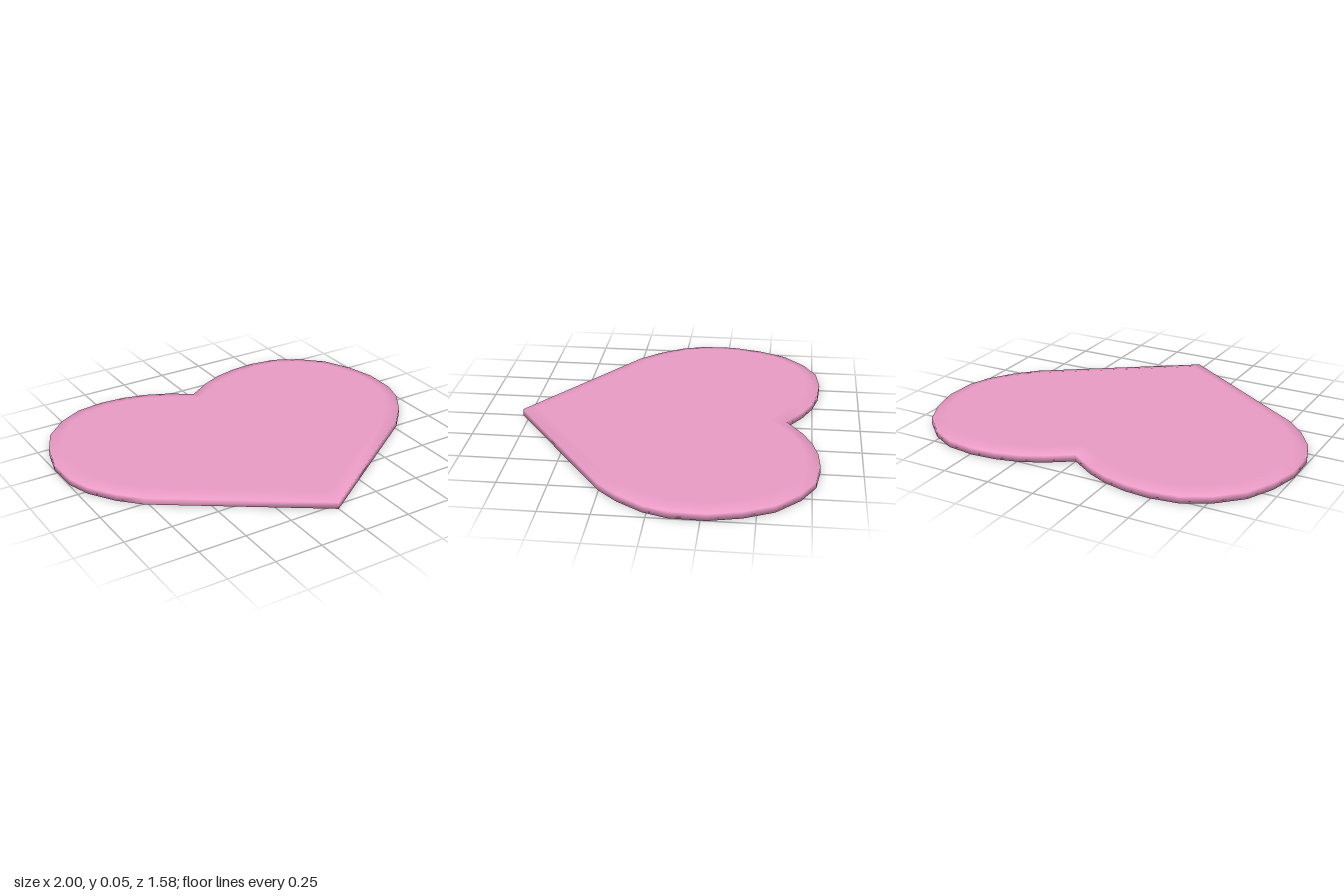
import * as THREE from 'three';

// Right half of the heart outline in (x, z), from the back notch to the front tip
const half = [
  [0, -0.615], [0.13, -0.7], [0.24, -0.75], [0.36, -0.78], [0.49, -0.79],
  [0.64, -0.77], [0.77, -0.7], [0.89, -0.585], [0.96, -0.44], [1, -0.28],
  [0.995, -0.1], [0.955, 0.02], [0.87, 0.15], [0.77, 0.255], [0, 0.785],
];

// Move every outline point inwards by an even distance, with mitred corners
function inset(points, distance) {
  const n = points.length;
  const normal = (a, b) => new THREE.Vector2(a.y - b.y, b.x - a.x).normalize();
  return points.map((p, i) => {
    const before = normal(points[(i + n - 1) % n], p);
    const after = normal(p, points[(i + 1) % n]);
    const scale = distance / (1 + before.dot(after));
    return p.clone().addScaledVector(before.add(after), scale);
  });
}

function heartGeometry() {
  const mirrored = half.slice(1, -1).reverse().map(([x, z]) => [-x, z]);
  const outline = [...half, ...mirrored].map(([x, z]) => new THREE.Vector2(x, z));
  const n = outline.length;
  const tip = half.length - 1;

  // Cross-sections: foot, shoulder, edge of the flat top
  const sections = [[outline, 0], [outline, 0.036], [inset(outline, 0.07), 0.051]];
  const positions = sections.flatMap(([ring, y]) => ring.flatMap((p) => [p.x, y, p.y]));
  const index = [];
  const top = 2 * n;
  for (let i = 0; i < n; i++) {
    const j = (i + 1) % n;
    // Wall and bevel
    for (let r = 0; r < top; r += n) {
      index.push(r + j, r + i, r + n + i, r + j, r + n + i, r + n + j);
    }
    // Flat underside and top, fanned from the front tip
    if (i !== tip && j !== tip) {
      index.push(tip, i, j, top + tip, top + j, top + i);
    }
  }

  const geometry = new THREE.BufferGeometry();
  geometry.setAttribute('position', new THREE.Float32BufferAttribute(positions, 3));
  geometry.setIndex(index);
  geometry.computeVertexNormals();
  // The bevel blends smoothly into a level top
  for (let i = top; i < top + n; i++) geometry.attributes.normal.setXYZ(i, 0, 1, 0);
  return geometry;
}

export function createModel() {
  const group = new THREE.Group();
  group.name = 'heartPlate';
  const heart = new THREE.Mesh(heartGeometry(), new THREE.MeshStandardMaterial({ color: 0xea9bc5 }));
  heart.name = 'heart';
  group.add(heart);
  return group;
}
